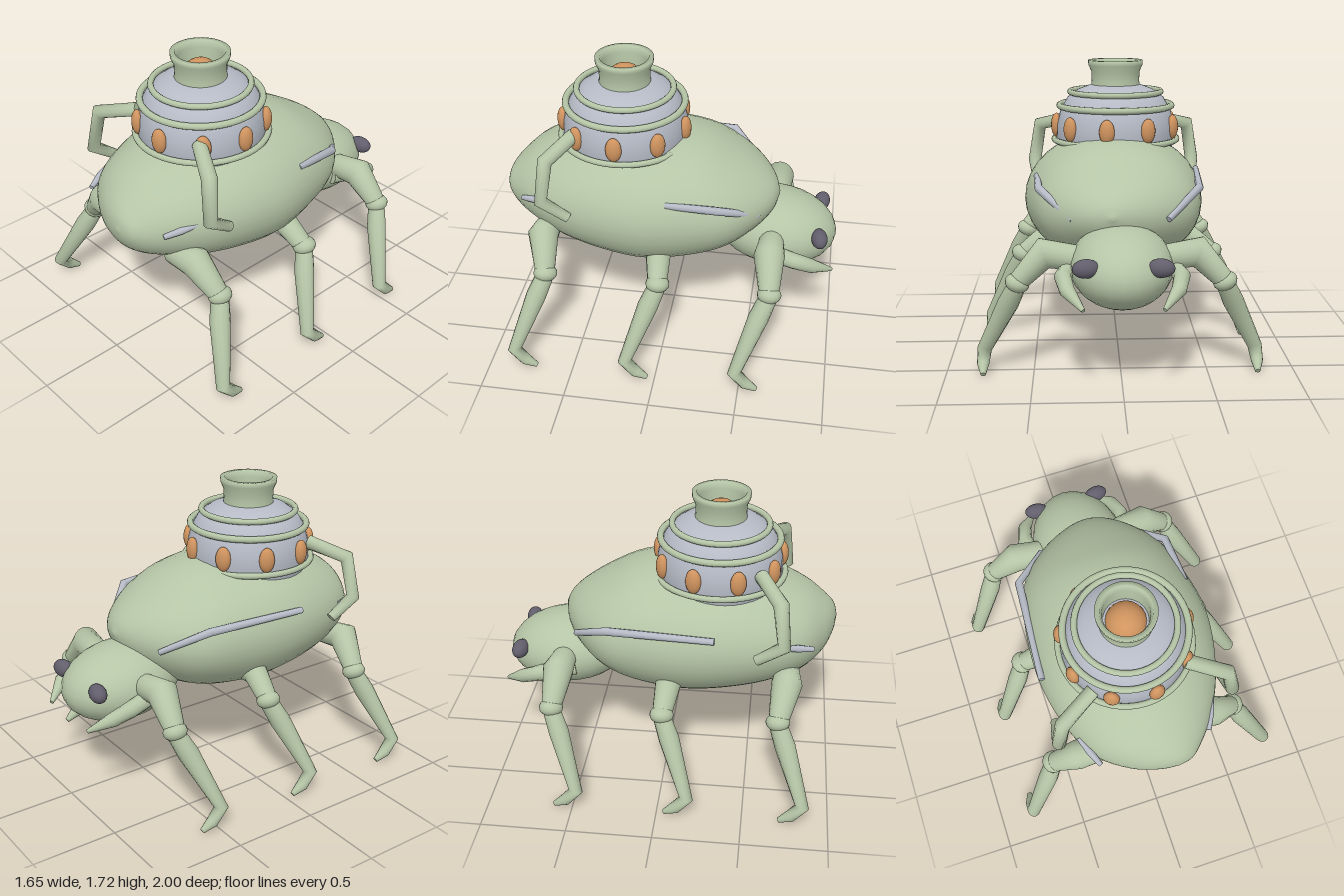
import * as THREE from 'three';

const mat = (name, color, side = THREE.FrontSide) => {
  const m = new THREE.MeshStandardMaterial({ color, side });
  m.name = name;
  return m;
};
const V = (x, y, z) => new THREE.Vector3(x, y, z);

// Skin a list of equal-sized point rings, closing both ends with fans.
function loft(rings) {
  const n = rings[0].length, last = rings.length - 1;
  const pos = [], idx = [];
  rings.forEach(r => r.forEach(p => pos.push(p.x, p.y, p.z)));
  for (let i = 0; i < last; i++) {
    for (let j = 0; j < n; j++) {
      const k = (j + 1) % n, a = i * n + j, b = i * n + k;
      idx.push(a, b, b + n, a, b + n, a + n);
    }
  }
  for (const i of [0, last]) {
    const base = pos.length / 3;
    const c = rings[i].reduce((s, p) => s.add(p), V(0, 0, 0)).divideScalar(n);
    [c, ...rings[i]].forEach(p => pos.push(p.x, p.y, p.z));
    for (let j = 0; j < n; j++) {
      const a = base + 1 + j, b = base + 1 + (j + 1) % n;
      if (i === 0) idx.push(base, b, a);
      else idx.push(base, a, b);
    }
  }
  const g = new THREE.BufferGeometry();
  g.setAttribute('position', new THREE.Float32BufferAttribute(pos, 3));
  g.setIndex(idx);
  g.computeVertexNormals();
  return g;
}

// Tapered tube with mitred bends through the given points.
function limb(points, radii, ref, sides = 12) {
  const rings = points.map((p, i) => {
    const a = points[Math.max(i - 1, 0)], b = points[Math.min(i + 1, points.length - 1)];
    const t = V(0, 0, 0);
    if (i > 0) t.add(p.clone().sub(a).normalize());
    if (i < points.length - 1) t.add(b.clone().sub(p).normalize());
    t.normalize();
    const u = ref.clone().cross(t).normalize(), v = t.clone().cross(u);
    return Array.from({ length: sides }, (_, j) => {
      const q = j / sides * Math.PI * 2;
      return p.clone().addScaledVector(u, Math.cos(q) * radii[i]).addScaledVector(v, Math.sin(q) * radii[i]);
    });
  });
  return loft(rings);
}

// Body cross-sections: z, half width, sideways shift, top, bottom
const bodyStations = [
  [-0.645, 0.01, 0.05, 0.94, 0.92],
  [-0.61, 0.14, 0.04, 1.01, 0.83],
  [-0.52, 0.29, 0.02, 1.09, 0.73],
  [-0.37, 0.43, 0.01, 1.18, 0.62],
  [-0.18, 0.5, 0.01, 1.265, 0.54],
  [0.1, 0.545, 0.02, 1.3, 0.5],
  [0.35, 0.53, 0.015, 1.29, 0.525],
  [0.6, 0.46, 0.01, 1.23, 0.58],
  [0.8, 0.35, 0.01, 1.15, 0.66],
  [0.92, 0.22, 0.04, 1.06, 0.74],
  [0.98, 0.11, 0.08, 0.99, 0.83],
  [1.0, 0.01, 0.1, 0.92, 0.9],
];

function bodyGeometry() {
  const upper = new THREE.CatmullRomCurve3(bodyStations.map(s => V(s[0], s[1], s[3])), false, 'catmullrom');
  const lower = new THREE.CatmullRomCurve3(bodyStations.map(s => V(s[0], s[2], s[4])), false, 'catmullrom');
  const rings = [], steps = 44, sides = 36;
  for (let i = 0; i <= steps; i++) {
    const a = upper.getPoint(i / steps), b = lower.getPoint(i / steps);
    const cy = (a.z + b.z) / 2, ry = (a.z - b.z) / 2;
    rings.push(Array.from({ length: sides }, (_, j) => {
      const q = j / sides * Math.PI * 2;
      return V(b.y + Math.cos(q) * a.y, cy + Math.sin(q) * ry, a.x);
    }));
  }
  return loft(rings);
}

export function createModel() {
  const green = mat('sage green', 0xb5c5a6);
  const grey = mat('pale grey', 0xb6bbc6);
  const orange = mat('copper orange', 0xd0945f);
  const dark = mat('dark violet grey', 0x625e6c);
  const root = new THREE.Group();
  root.name = 'beetle';
  const add = (name, geo, material, parent = root) => {
    const m = new THREE.Mesh(geo, material);
    m.name = name;
    parent.add(m);
    return m;
  };
  const ball = (name, material, x, y, z, rx, ry, rz) => {
    const m = add(name, new THREE.SphereGeometry(1, 24, 16), material);
    m.position.set(x, y, z);
    m.scale.set(rx, ry, rz);
    return m;
  };
  const UP = V(0, 1, 0), FWD = V(0, 0, 1);

  add('body', bodyGeometry(), green);
  ball('head', green, 0, 0.665, -0.63, 0.29, 0.222, 0.37).rotation.x = -0.1;

  for (const s of [1, -1]) {
    const side = s > 0 ? 'left' : 'right';
    // Eyes and mandibles
    ball(side + 'Eye', dark, s * 0.2, 0.72, -0.9, 0.075, 0.052, 0.048).rotation.y = s * 0.15;
    add(side + 'Mandible', limb(
      [V(s * 0.27, 0.66, -0.55), V(s * 0.325, 0.635, -0.76), V(s * 0.3, 0.59, -0.87), V(s * 0.215, 0.515, -0.985)],
      [0.05, 0.048, 0.042, 0.012], UP), green);

    // Three legs: z offset, hip height, thigh radius
    [['front', -0.64, 0.735, 0.09], ['middle', 0.01, 0.68, 0.075], ['rear', 0.68, 0.735, 0.09]].forEach(([name, z, hipY, r]) => {
      const leg = new THREE.Group();
      leg.name = `${name}${side}Leg`;
      root.add(leg);
      const hipZ = z + (name === 'rear' ? 0.04 : 0.02);
      add('thigh', limb(
        [V(s * 0.24, hipY - 0.03, hipZ), V(s * 0.43, hipY, hipZ), V(s * 0.59, 0.56, z)],
        [r * 0.8, r, 0.055], FWD, 16), green, leg);
      const knee = add('knee', new THREE.SphereGeometry(0.07, 16, 12), green, leg);
      knee.position.set(s * 0.58, 0.57, z);
      knee.scale.set(1, 0.75, 1);
      knee.rotation.z = s * 0.4;
      add('shin', limb(
        [V(s * 0.58, 0.56, z), V(s * 0.635, 0.44, z + 0.05), V(s * 0.785, 0.13, z + 0.165),
          V(s * 0.79, 0.06, z + 0.1), V(s * 0.785, 0.02, z + 0.035)],
        [0.052, 0.06, 0.042, 0.035, 0.015], FWD), green, leg);
    });

    // Arms on the tower
    add(side + 'Arm', limb(
      [V(s * 0.27, 1.345, 0.54), V(s * 0.485, 1.285, 0.66), V(s * 0.525, 1.04, 0.69), V(s * 0.505, 0.93, 0.54)],
      [0.042, 0.045, 0.042, 0.03], FWD), green);

    // Grey trim rods
    const end = s > 0 ? V(0.485, 1.06, -0.02) : V(-0.51, 1.04, 0.3);
    add(side + 'SideRod', limb(
      [V(s * 0.27, 0.9, -0.535), V(s * 0.465, 1.04, -0.32), end], [0.018, 0.025, 0.02], UP, 8), grey);
    add(side + 'RearRod', limb(
      [V(s * 0.33, 0.92, 0.86), V(s * 0.37, 0.942, 0.77), V(s * 0.41, 0.96, 0.68)], [0.015, 0.022, 0.012], UP, 8), grey);
  }

  // Tower with rings, portholes and neck
  const tower = new THREE.Group();
  tower.name = 'tower';
  tower.position.set(0, 0, 0.29);
  root.add(tower);
  const lathe = pts => new THREE.LatheGeometry(pts.map(p => new THREE.Vector2(...p)), 40);
  add('dome', lathe([[0.35, 1.17], [0.37, 1.25], [0.365, 1.34], [0.345, 1.42], [0.3, 1.5], [0.23, 1.55], [0.15, 1.58], [0, 1.59]]), grey, tower);
  [[1.24, 0.385, 0.018], [1.45, 0.35, 0.02], [1.535, 0.283, 0.018]].forEach(([y, r, t]) => {
    const ring = add('hoop', new THREE.TorusGeometry(r, t, 10, 48), green, tower);
    ring.rotation.x = Math.PI / 2;
    ring.position.y = y;
  });
  for (let i = 0; i < 9; i++) {
    const a = i * Math.PI * 2 / 9;
    const p = add('porthole', new THREE.SphereGeometry(1, 16, 12), orange, tower);
    p.position.set(Math.cos(a) * 0.37, 1.327, Math.sin(a) * 0.37);
    p.scale.set(0.034, 0.075, 0.047);
    p.rotation.y = -a;
  }
  add('neck', lathe([[0.155, 1.55], [0.148, 1.6], [0.15, 1.66], [0.168, 1.7], [0.17, 1.73],
    [0.142, 1.73], [0.13, 1.69], [0.125, 1.56]]), green, tower);
  const glow = add('core', new THREE.SphereGeometry(0.115, 20, 14), orange, tower);
  glow.position.y = 1.565;

  return root;
}
